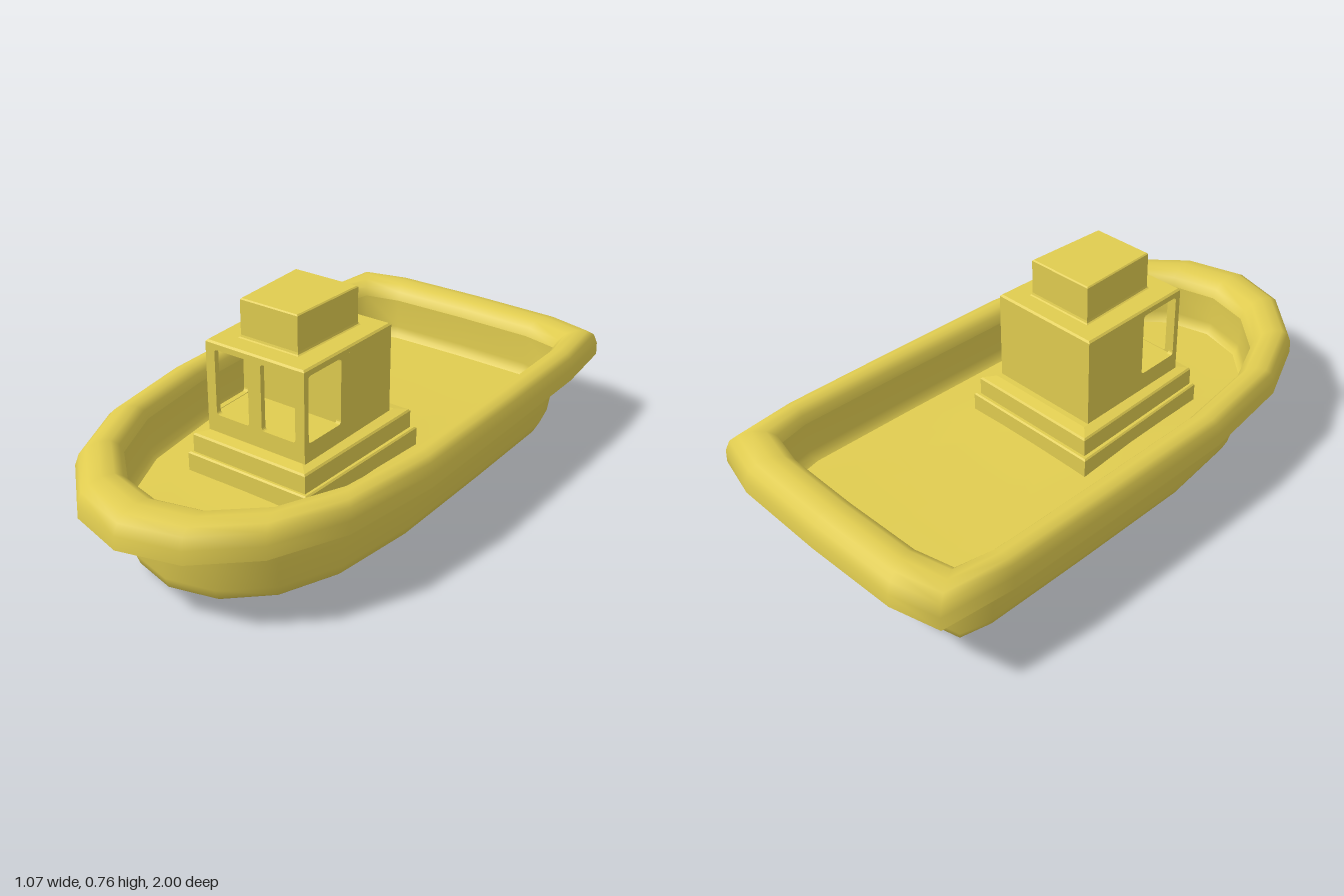
import * as THREE from 'three';

const material = new THREE.MeshStandardMaterial({ color: 0xe0cc50, side: THREE.DoubleSide });

// Matching half outlines [x, z], stern to bow: inner and outer edge of the rim
const INNER = [[0, -0.84], [0.28, -0.835], [0.41, -0.805], [0.435, -0.7], [0.435, -0.3],
  [0.43, 0.15], [0.39, 0.45], [0.3, 0.65], [0.16, 0.775], [0, 0.815]];
const OUTER = [[0, -1], [0.34, -0.993], [0.51, -0.95], [0.535, -0.7], [0.535, -0.3],
  [0.53, 0.2], [0.48, 0.55], [0.37, 0.79], [0.2, 0.945], [0, 1]];

// Full boat outline: t blends inner to outer, kx and kz scale toward the middle
function boatOutline(t, kx = 1, kz = kx) {
  const half = INNER.map(([x, z], i) => [
    kx * (x + (OUTER[i][0] - x) * t),
    kz * (z + (OUTER[i][1] - z) * t),
  ]);
  const mirrored = half.slice(1, -1).reverse().map(([x, z]) => [-x, z]);
  return [...half, ...mirrored];
}

// Skin through rings given as [outline, y]; y may be a rule of (x, z)
function loft(name, rings, flat = false) {
  const n = rings[0][0].length;
  const positions = [];
  const index = [];
  for (const [outline, y] of rings) {
    for (const [x, z] of outline) positions.push(x, typeof y === 'function' ? y(x, z) : y, z);
  }
  for (let r = 0; r < rings.length - 1; r++) {
    for (let j = 0; j < n; j++) {
      const a = r * n + j;
      const b = r * n + (j + 1) % n;
      index.push(a, a + n, b + n, a, b + n, b);
    }
  }
  let geometry = new THREE.BufferGeometry();
  geometry.setAttribute('position', new THREE.Float32BufferAttribute(positions, 3));
  geometry.setIndex(index);
  if (flat) geometry = geometry.toNonIndexed();
  geometry.computeVertexNormals();
  const mesh = new THREE.Mesh(geometry, material);
  mesh.name = name;
  return mesh;
}

// Capped block on a tapering footprint; levels are [inset, y] from bottom to top
function block(name, backHalf, frontHalf, z0, z1, levels) {
  const foot = (d) => [[-backHalf + d, z0 + d], [backHalf - d, z0 + d],
    [frontHalf - d, z1 - d], [-frontHalf + d, z1 - d]];
  const centre = Array(4).fill([0, (z0 + z1) / 2]);
  const rings = levels.map(([d, y]) => [foot(d), y]);
  return loft(name, [[centre, levels[0][1]], ...rings, [centre, levels.at(-1)[1]]], true);
}

function roundedRect(path, x0, y0, x1, y1, r) {
  path.moveTo(x0 + r, y0);
  path.lineTo(x1 - r, y0);
  path.quadraticCurveTo(x1, y0, x1, y0 + r);
  path.lineTo(x1, y1 - r);
  path.quadraticCurveTo(x1, y1, x1 - r, y1);
  path.lineTo(x0 + r, y1);
  path.quadraticCurveTo(x0, y1, x0, y1 - r);
  path.lineTo(x0, y0 + r);
  path.quadraticCurveTo(x0, y0, x0 + r, y0);
  return path;
}

// Thin wall with rounded window openings
function windowWall(x0, x1, windows) {
  const shape = new THREE.Shape([[x0, 0.34], [x1, 0.34], [x1, 0.615], [x0, 0.615]]
    .map(([x, y]) => new THREE.Vector2(x, y)));
  for (const [a, b] of windows) {
    shape.holes.push(roundedRect(new THREE.Path(), a, 0.38, b, 0.605, 0.012));
  }
  return new THREE.ExtrudeGeometry(shape, { depth: 0.018, bevelEnabled: false, curveSegments: 4 });
}

function createHull() {
  const hull = new THREE.Group();
  hull.name = 'hull';
  const ring = ([t, kx, kz, y]) => [boatOutline(t, kx, kz), y];

  hull.add(loft('hullShell', [
    [0, 0, 0, 0], [0, 0.6, 0.65, 0.003], [0, 0.9, 0.95, 0.013], [0, 0.945, 0.98, 0.032],
    [0, 0.985, 0.995, 0.068], [0.04, 1, 1, 0.16], [0.08, 1, 1, 0.22], [0.1, 1, 1, 0.27],
    [0.1, 1, 1, 0.33],
  ].map(ring)));

  // Hollow underside of the overhanging rim
  hull.add(loft('rimUnderside', [
    [0.1, 1, 1, 0.33], [0.35, 1, 1, 0.355], [0.7, 1, 1, 0.35], [0.9, 1, 1, 0.32],
    [0.96, 1, 1, 0.27], [1, 1, 1, 0.27],
  ].map(ring)));

  hull.add(loft('rim', [
    [1, 1, 1, 0.27], [0.99, 1, 1, 0.315], [0.9, 1, 1, 0.35], [0.75, 1, 1, 0.367],
    [0.5, 1, 1, 0.376], [0.25, 1, 1, 0.37], [0.08, 1, 1, 0.35], [0, 1, 1, 0.32],
  ].map(ring)));

  // Upright inner wall and sunken deck, rising gently around the cabin
  const deckY = (x, z) => 0.172 + 0.025 * Math.exp(-((z - 0.12) ** 2) / 0.08 - (x * x) / 0.12);
  hull.add(loft('innerWall', [
    [0, 1, 1, 0.32], [0, 1, 1, 0.21], [0, 0.985, 0.99, 0.185], [0, 0.96, 0.975, 0.172],
  ].map(ring)));
  hull.add(loft('deck', [
    [0, 0.96, 0.975, 0.172],
    ...[0.8, 0.6, 0.4, 0.2, 0].map((k) => [0, k, k, deckY]),
  ].map(ring)));
  return hull;
}

function createCabin() {
  const cabin = new THREE.Group();
  cabin.name = 'cabin';
  const halfWidth = (z) => 0.2 - (z + 0.06) * 0.0227;

  // Stepped plinth
  cabin.add(block('lowerStep', 0.26, 0.235, -0.135, 0.435, [[0, 0.15], [0, 0.24], [0.005, 0.245]]));
  cabin.add(block('plinth', 0.243, 0.222, -0.12, 0.422,
    [[0, 0.23], [0, 0.305], [0.005, 0.311], [0.04, 0.318]]));

  // Solid rear part, sill and roof
  cabin.add(block('cabinRear', 0.2, halfWidth(0.2), -0.06, 0.2, [[0, 0.3], [0, 0.61]]));
  cabin.add(block('cabinFloor', halfWidth(0.2), 0.19, 0.2, 0.38, [[0, 0.3], [0, 0.378]]));
  cabin.add(block('roof', 0.2, 0.19, -0.06, 0.38, [[0, 0.605], [0, 0.624], [0.006, 0.63]]));

  // Front wall with two windows
  const front = new THREE.Mesh(windowWall(-0.19, 0.19, [[-0.155, -0.025], [0.025, 0.155]]), material);
  front.name = 'frontWindowWall';
  front.position.z = 0.362;
  cabin.add(front);

  // Side walls follow the taper of the cabin
  for (const side of [1, -1]) {
    const geometry = windowWall(0.19, 0.38, [[0.2, 0.36]]);
    const p = geometry.attributes.position;
    for (let i = 0; i < p.count; i++) {
      const z = p.getX(i);
      p.setXYZ(i, side * (halfWidth(z) - p.getZ(i)), p.getY(i), z);
    }
    // Reverse the triangles on the side whose mapping mirrors them
    if (side === -1) {
      for (let i = 0; i < p.count; i += 3) {
        const a = new THREE.Vector3().fromBufferAttribute(p, i + 1);
        const b = new THREE.Vector3().fromBufferAttribute(p, i + 2);
        p.setXYZ(i + 1, b.x, b.y, b.z);
        p.setXYZ(i + 2, a.x, a.y, a.z);
      }
    }
    geometry.computeVertexNormals();
    const wall = new THREE.Mesh(geometry, material);
    wall.name = side === 1 ? 'leftWindowWall' : 'rightWindowWall';
    cabin.add(wall);
  }

  // Funnel block with a small fillet at its foot
  cabin.add(block('funnel', 0.122, 0.11, 0.012, 0.305,
    [[-0.008, 0.629], [-0.002, 0.633], [0, 0.64], [0, 0.757], [0.004, 0.761]]));
  return cabin;
}

export function createModel() {
  const boat = new THREE.Group();
  boat.name = 'boat';
  boat.add(createHull(), createCabin());
  return boat;
}
